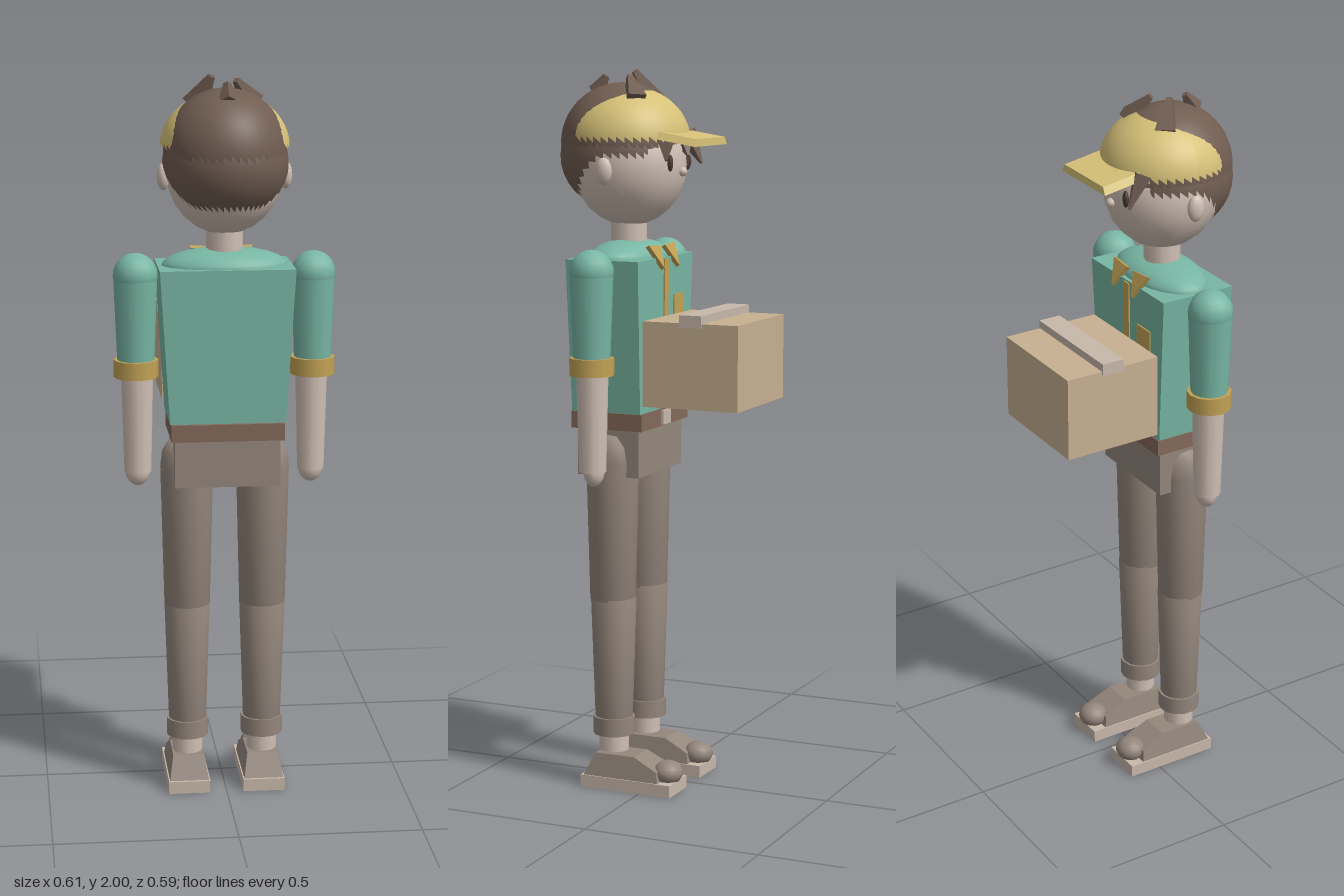
import * as THREE from 'three';

const mat = (name, color, side = THREE.FrontSide) => {
  const m = new THREE.MeshStandardMaterial({ color, side });
  m.name = name;
  return m;
};

export function createModel() {
  const root = new THREE.Group();
  const M = {
    shirt: mat('teal shirt', 0x78b6a3),
    card: mat('cardboard', 0xc8b091),
    pale: mat('pale tape and sole', 0xc8b8ab),
    skin: mat('skin', 0xd0c0b4),
    trouser: mat('grey brown trousers', 0x94877c),
    belt: mat('belt brown', 0x84685a),
    hat: mat('cap yellow', 0xd6c178),
    trim: mat('ochre trim', 0xc2a255),
    hair: mat('hair brown', 0x705d51, THREE.DoubleSide),
    dark: mat('eye brown', 0x4c3c35),
  };
  const add = (name, geo, material, x = 0, y = 0, z = 0) => {
    const mesh = new THREE.Mesh(geo, material);
    mesh.name = name;
    mesh.position.set(x, y, z);
    root.add(mesh);
    return mesh;
  };
  const box = (w, h, d) => new THREE.BoxGeometry(w, h, d);
  const ball = (rx, ry, rz, seg = 16) => new THREE.SphereGeometry(1, seg, 12).scale(rx, ry, rz);
  const cyl = (rt, rb, h, seg = 12) => new THREE.CylinderGeometry(rt, rb, h, seg);
  const lathe = (pts, seg = 14) => new THREE.LatheGeometry(pts.map(p => new THREE.Vector2(...p)), seg);
  // box whose bottom is scaled in x and z
  const taper = (w, h, d, sx, sz) => {
    const g = box(w, h, d), p = g.attributes.position;
    for (let i = 0; i < p.count; i++)
      if (p.getY(i) < 0) { p.setX(i, p.getX(i) * sx); p.setZ(i, p.getZ(i) * sz); }
    g.computeVertexNormals();
    return g;
  };
  // dome whose lower edge follows a rule: edge(phi) is the height ratio, -1 to 1
  const cap = (rx, ry, rz, edge) => {
    const g = new THREE.SphereGeometry(1, 48, 14), p = g.attributes.position, uv = g.attributes.uv;
    for (let i = 0; i < p.count; i++) {
      const phi = (i % 49) / 48 * Math.PI * 2;
      const t = Math.floor(i / 49) / 14 * Math.acos(edge(phi));
      p.setXYZ(i, -Math.cos(phi) * Math.sin(t) * rx, Math.cos(t) * ry, Math.sin(phi) * Math.sin(t) * rz);
    }
    uv.needsUpdate = true;
    g.computeVertexNormals();
    return g;
  };
  // four-sided lock of hair from base to tip
  const spike = (name, a, b, r, tipR) => {
    const from = new THREE.Vector3(...a), to = new THREE.Vector3(...b), dir = to.clone().sub(from);
    const g = new THREE.CylinderGeometry(tipR, r, dir.length(), 4).toNonIndexed();
    g.computeVertexNormals();
    const m = add(name, g, M.hair);
    m.position.copy(from).addScaledVector(dir, 0.5);
    m.quaternion.setFromUnitVectors(new THREE.Vector3(0, 1, 0), dir.normalize());
  };

  // shoe upper from its side outline, narrowing upward
  const outline = new THREE.Shape([[0.172, 0.035], [-0.055, 0.035], [-0.05, 0.065], [0.02, 0.1], [0.14, 0.1]]
    .map(p => new THREE.Vector2(...p)));
  const shoe = new THREE.ExtrudeGeometry(outline, { depth: 0.11, bevelEnabled: false })
    .rotateY(-Math.PI / 2).translate(0.055, 0, 0);
  const sp = shoe.attributes.position;
  for (let i = 0; i < sp.count; i++) sp.setX(i, sp.getX(i) * (1 - (sp.getY(i) - 0.035) * 3.2));
  shoe.computeVertexNormals();

  for (const s of [-1, 1]) {
    // legs and shoes
    const x = s * 0.105;
    add('sole', box(0.117, 0.035, 0.275), M.pale, x, 0.0175, 0.0425);
    add('shoe', shoe, M.trouser, x);
    add('shoeToe', ball(0.043, 0.034, 0.042), M.trouser, x, 0.056, -0.065);
    add('ankle', cyl(0.042, 0.042, 0.07), M.skin, x, 0.14, 0.102);
    add('trouserCuff', cyl(0.059, 0.059, 0.05, 14), M.trouser, x, 0.178, 0.102);
    add('lowerLeg', lathe([[0, 0.18], [0.052, 0.18], [0.064, 0.545], [0, 0.55]]), M.trouser, x, 0, 0.102);
    add('upperLeg', lathe([[0, 0.54], [0.064, 0.54], [0.0735, 0.93], [0.068, 0.975], [0.05, 1.005], [0, 1.02]]),
      M.trouser, x, 0, 0.104);

    // arms
    const ax = s * 0.242;
    add('shoulder', ball(0.061, 0.061, 0.061, 12), M.shirt, ax, 1.465, 0.1);
    add('sleeve', cyl(0.06, 0.051, 0.235), M.shirt, ax, 1.35, 0.1);
    add('sleeveCuff', cyl(0.061, 0.061, 0.048), M.trim, ax, 1.21, 0.1);
    add('forearm', cyl(0.044, 0.037, 0.27), M.skin, s * 0.239, 1.055, 0.1);
    add('hand', ball(0.035, 0.045, 0.028, 12), M.skin, s * 0.239, 0.924, 0.096);

    // face sides and collar
    add('ear', ball(0.018, 0.037, 0.024, 12), M.skin, s * 0.165, 1.732, 0.1);
    add('eye', ball(0.016, 0.023, 0.008, 12), M.dark, s * 0.055, 1.752, -0.048).rotation.y = s * 0.35;
    const flap = new THREE.Shape([new THREE.Vector2(s * 0.015, 0.03), new THREE.Vector2(s * 0.085, 0.035),
      new THREE.Vector2(s * 0.05, -0.035)]);
    const collar = add('collar', new THREE.ExtrudeGeometry(flap, { depth: 0.012, bevelEnabled: false }),
      M.trim, 0, 1.497, -0.014);
    collar.rotation.x = 0.45;
  }

  // body
  add('hips', box(0.288, 0.135, 0.185), M.trouser, 0, 0.96, 0.1);
  add('belt', box(0.308, 0.047, 0.214), M.belt, 0, 1.047, 0.1);
  add('buckle', box(0.05, 0.04, 0.009), M.pale, 0, 1.047, -0.01);
  add('torso', taper(0.366, 0.42, 0.218, 0.86, 0.95), M.shirt, 0, 1.282, 0.099);
  add('shoulderYoke', ball(0.173, 0.052, 0.1, 24), M.shirt, 0, 1.488, 0.1);
  const front = (name, w, h, x, y) => {
    add(name, box(w, h, 0.009), M.trim, x, y, -0.0095 + (1.49 - y) * 0.013).rotation.x = -0.013;
  };
  front('placket', 0.026, 0.41, 0, 1.282);
  front('pocket', 0.064, 0.068, -0.085, 1.35);
  add('neck', cyl(0.05, 0.05, 0.1), M.skin, 0, 1.57, 0.102);

  // head and hair
  add('head', ball(0.157, 0.17, 0.16, 24), M.skin, 0, 1.745, 0.1);
  add('nose', ball(0.013, 0.013, 0.013, 10), M.skin, 0, 1.727, -0.06);
  add('hairTop', cap(0.166, 0.168, 0.171, p => -0.06 - 0.05 * Math.abs(Math.sin(p * 6))), M.hair, 0, 1.8, 0.122);
  add('hairBack', cap(0.169, 0.155, 0.172,
    p => -0.02 - 0.73 * THREE.MathUtils.smoothstep(Math.sin(p), -0.15, 0.75)), M.hair, 0, 1.768, 0.122);
  spike('tuft', [-0.075, 1.92, 0.065], [-0.035, 1.998, 0.1], 0.038, 0.01);
  spike('tuft', [0.08, 1.92, 0.045], [0.032, 1.985, 0.085], 0.036, 0.01);
  spike('tuft', [0, 1.94, 0.2], [0, 1.985, 0.17], 0.028, 0.01);
  spike('fringe', [-0.1, 1.83, -0.025], [-0.108, 1.745, -0.07], 0.03, 0.004);
  spike('fringe', [-0.035, 1.82, -0.045], [-0.01, 1.77, -0.072], 0.03, 0.004);
  spike('fringe', [0.06, 1.82, -0.035], [0.092, 1.76, -0.052], 0.03, 0.004);

  // cap
  add('capCrown', cap(0.174, 0.148, 0.172, () => -0.01), M.hat, 0, 1.81, 0.105);
  add('capBrim', taper(0.195, 0.02, 0.115, 1.12, 1.08), M.hat, 0, 1.819, -0.085).rotation.x = -0.16;

  // parcel
  add('parcel', box(0.327, 0.234, 0.28), M.card, 0, 1.213, -0.155);
  add('parcelTape', box(0.334, 0.034, 0.064), M.pale, 0, 1.335, -0.157);

  return root;
}
